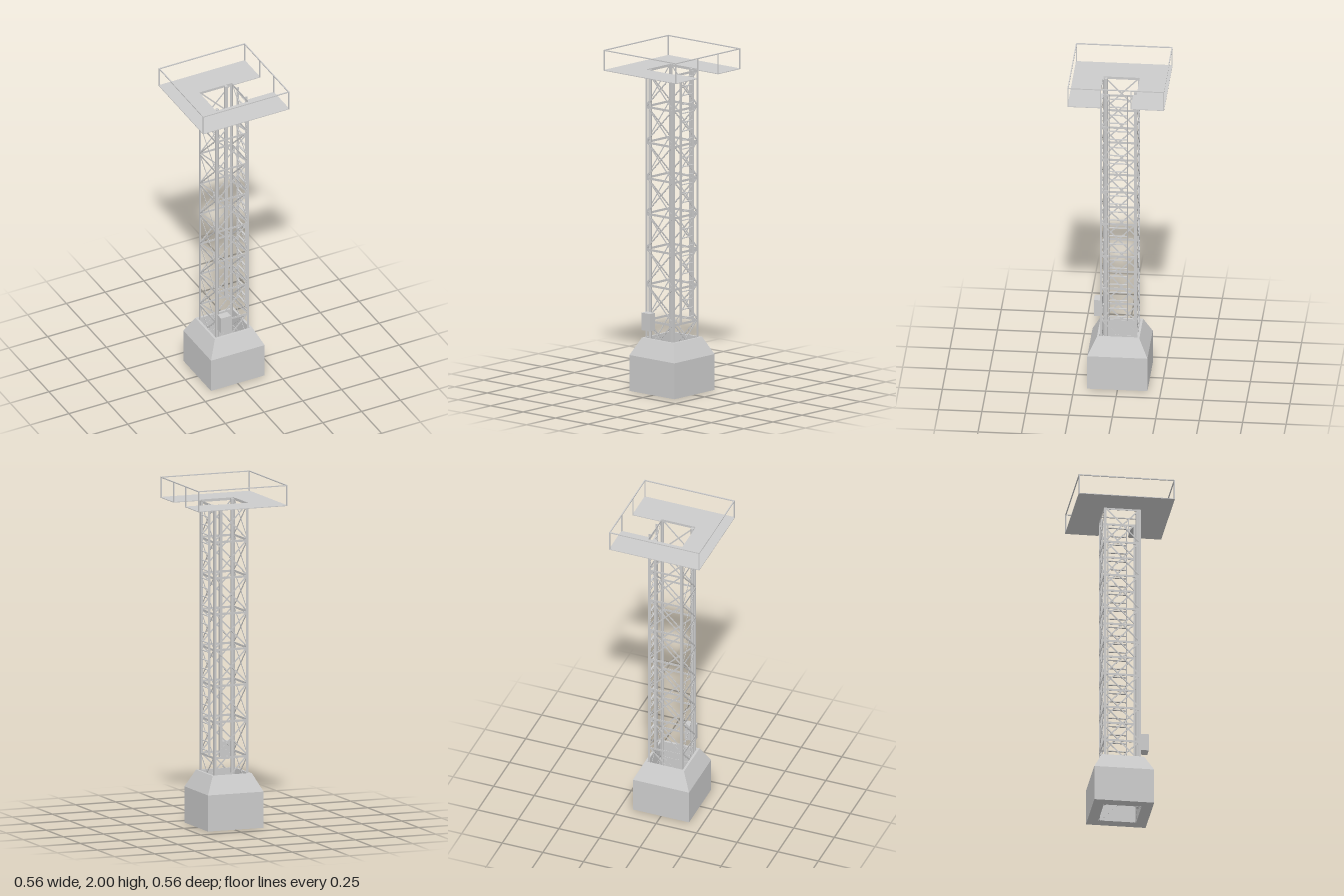
import * as THREE from 'three';

const grey = new THREE.MeshStandardMaterial({ color: 0xcccccc, flatShading: true });

function add(parent, name, geometry, x = 0, y = 0, z = 0) {
  const mesh = new THREE.Mesh(geometry, grey);
  mesh.name = name;
  mesh.position.set(x, y, z);
  parent.add(mesh);
  return mesh;
}
const box = (parent, name, w, h, d, x, y, z) =>
  add(parent, name, new THREE.BoxGeometry(w, h, d), x, y, z);

function group(parent, name) {
  const g = new THREE.Group();
  g.name = name;
  parent.add(g);
  return g;
}

const DECK = 1.88;          // deck height
const BAYS = 9;             // lattice bays
const BAY = DECK / BAYS;
const HALF = 0.106;         // tower half width
const THIN = 0.002;         // steel strip thickness

// One lattice wall of flat strips, facing +z
function latticeWall(parent, name) {
  const wall = group(parent, name);
  const leg = 0.013;
  for (const s of [-1, 1])
    box(wall, 'legFlange', leg, DECK, THIN, s * (HALF - leg / 2), DECK / 2, HALF);
  const span = 2 * (HALF - 0.005);
  const length = Math.hypot(span, BAY);
  for (let i = 0; i < BAYS; i++) {
    const y = i * BAY;
    box(wall, 'crossBeam', 2 * HALF, 0.013, THIN, 0, y + BAY - 0.0065, HALF);
    for (const s of [-1, 1]) {
      const brace = box(wall, 'diagonalBrace', length, 0.008, THIN, 0, y + BAY / 2, HALF - 0.001);
      brace.rotation.z = s * Math.atan2(BAY, span);
    }
  }
  return wall;
}

export function createModel() {
  const model = new THREE.Group();
  model.name = 'latticeTower';

  // Hollow square foundation with sloped shoulders
  const r = Math.SQRT2;
  const profile = [[0.109, 0], [0.173, 0], [0.173, 0.21], [0.122, 0.312], [0.109, 0.312], [0.109, 0]]
    .map(([x, y]) => new THREE.Vector2(x * r, y));
  add(model, 'foundation', new THREE.LatheGeometry(profile, 4, Math.PI / 4));

  // Four lattice walls
  ['frontLattice', 'leftLattice', 'backLattice', 'rightLattice'].forEach((name, i) => {
    latticeWall(model, name).rotation.y = i * Math.PI / 2;
  });

  // Deck with a central opening and a ladder notch
  const h = 0.278, o = 0.105, n = 0.085;
  const outline = [[h, n], [h, h], [-h, h], [-h, -h], [h, -h], [h, -n],
    [o, -n], [o, -o], [-o, -o], [-o, o], [o, o], [o, n]]
    .map(([x, y]) => new THREE.Vector2(x, y));
  const deck = new THREE.ExtrudeGeometry(new THREE.Shape(outline), { depth: 0.004, bevelEnabled: false });
  deck.rotateX(Math.PI / 2);
  add(model, 'deck', deck, 0, DECK + 0.002, 0);

  // Guard rail
  const rail = group(model, 'guardRail');
  const t = 0.006, e = h - t / 2;
  for (const s of [-1, 1]) {
    box(rail, 'topRail', 2 * h, t, t, 0, 2 - t / 2, s * e);
    box(rail, 'topRail', t, t, 2 * h - 2 * t, s * e, 2 - t / 2, 0);
    for (const x of [-e, e])
      box(rail, 'cornerPost', t, 2 - DECK, t, x, (2 + DECK) / 2, s * e);
    box(rail, 'gatePost', t, 2 - DECK, t, e, (2 + DECK) / 2, s * (n + t / 2));
  }

  // Ladder on the left side
  const ladder = group(model, 'ladder');
  const low = 2 * BAY;
  for (const s of [-1, 1])
    box(ladder, 'ladderRail', 0.014, DECK - low, 0.003, 0.115, (DECK + low) / 2, s * 0.053);
  const rungs = 28, step = (DECK - low) / rungs;
  for (let i = 0; i < rungs; i++)
    box(ladder, 'rung', 0.01, 0.004, 0.104, 0.114, low + (i + 0.5) * step, 0);

  // Services: riser pipe, cable tray and control cabinet
  const pipe = add(model, 'riserPipe', new THREE.CylinderGeometry(0.01, 0.01, DECK, 16), -0.09, DECK / 2, 0.088);
  pipe.material = new THREE.MeshStandardMaterial({ color: 0xcccccc });
  box(model, 'cableTray', 0.018, DECK - low, 0.017, 0.062, (DECK + low) / 2, -0.0965);
  box(model, 'controlCabinet', 0.064, 0.102, 0.046, -0.066, 0.415, 0.13);

  return model;
}
